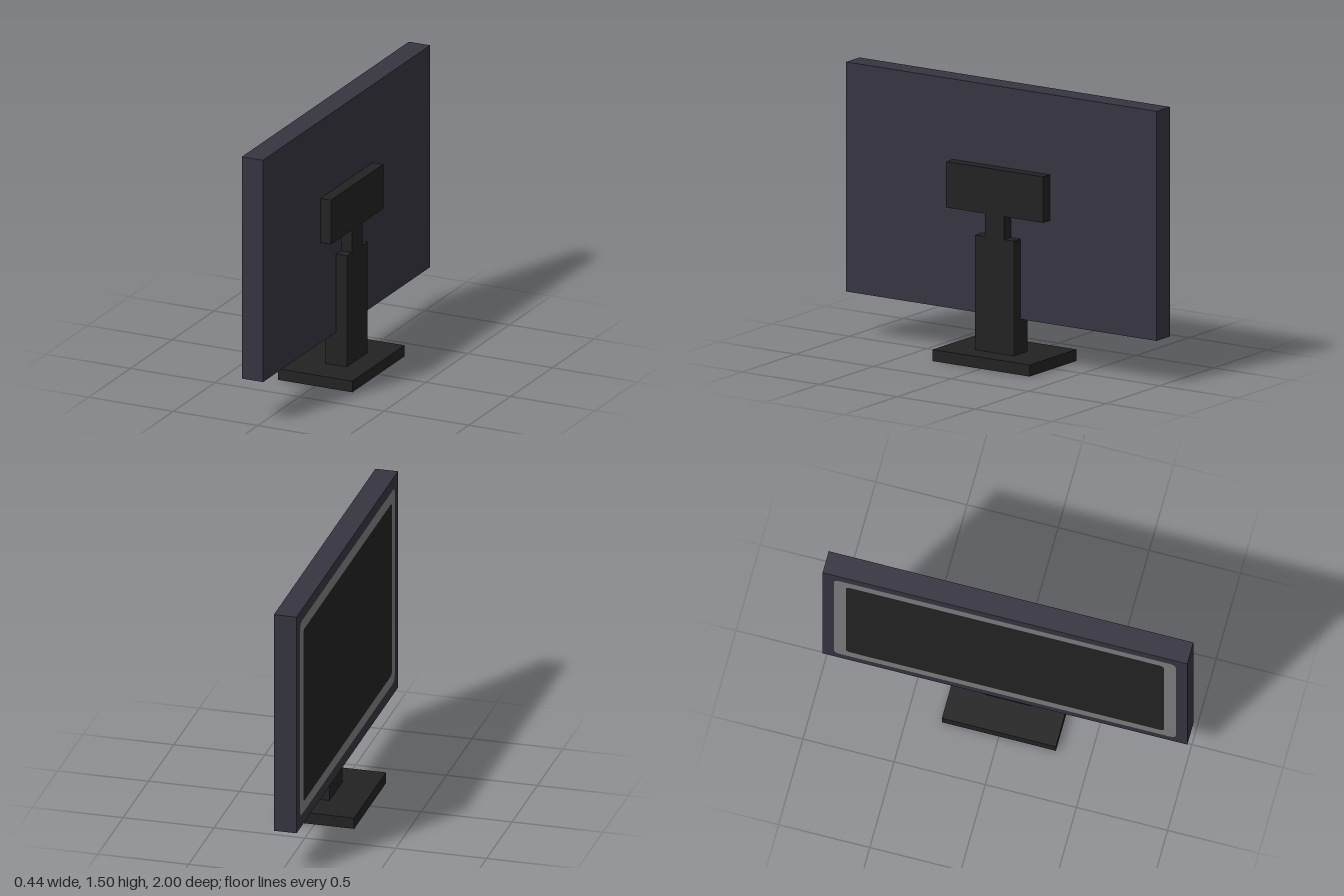
import * as THREE from 'three';

const mat = (name, color) => {
  const m = new THREE.MeshStandardMaterial({ color });
  m.name = name;
  return m;
};

// Rectangle centred on the origin with small rounded corners
function roundedRect(Type, w, h, r) {
  const s = new Type();
  const x = w / 2, y = h / 2;
  s.moveTo(-x + r, -y);
  s.lineTo(x - r, -y);
  s.quadraticCurveTo(x, -y, x, -y + r);
  s.lineTo(x, y - r);
  s.quadraticCurveTo(x, y, x - r, y);
  s.lineTo(-x + r, y);
  s.quadraticCurveTo(-x, y, -x, y - r);
  s.lineTo(-x, -y + r);
  s.quadraticCurveTo(-x, -y, -x + r, -y);
  return s;
}

export function createModel() {
  const group = new THREE.Group();
  group.name = 'monitor';
  const casing = mat('casing slate', 0x353440);
  const black = mat('matte black', 0x222222);
  const grey = mat('bezel grey', 0x7c7c7c);

  // Box given by its x and y ranges and its depth, centred on z = 0
  const box = (name, material, x0, x1, y0, y1, depth) => {
    const mesh = new THREE.Mesh(new THREE.BoxGeometry(x1 - x0, y1 - y0, depth), material);
    mesh.position.set((x0 + x1) / 2, (y0 + y1) / 2, 0);
    mesh.name = name;
    group.add(mesh);
  };

  // Display housing and stand
  box('housing', casing, -0.094, 0.031, 0.25, 1.5, 2);
  box('base', black, -0.219, 0.219, 0, 0.0625, 0.625);
  box('stem', black, -0.031, 0.094, 0.0625, 0.6875, 0.25);
  box('neck', black, 0.031, 0.094, 0.6875, 0.8125, 0.125);
  box('mountPlate', black, 0.031, 0.094, 0.8125, 1.0625, 0.625);

  // Painted bezel ring and screen on the -x face
  const face = (name, material, shape) => {
    const geometry = new THREE.ShapeGeometry(shape, 4).rotateY(-Math.PI / 2);
    const mesh = new THREE.Mesh(geometry, material);
    mesh.position.set(-0.096, 0.875, 0);
    mesh.name = name;
    group.add(mesh);
  };
  const bezel = roundedRect(THREE.Shape, 1.875, 1.125, 0.04);
  bezel.holes.push(roundedRect(THREE.Path, 1.745, 0.995, 0.03));
  face('bezel', grey, bezel);
  face('screen', black, roundedRect(THREE.Shape, 1.745, 0.995, 0.03));

  return group;
}
